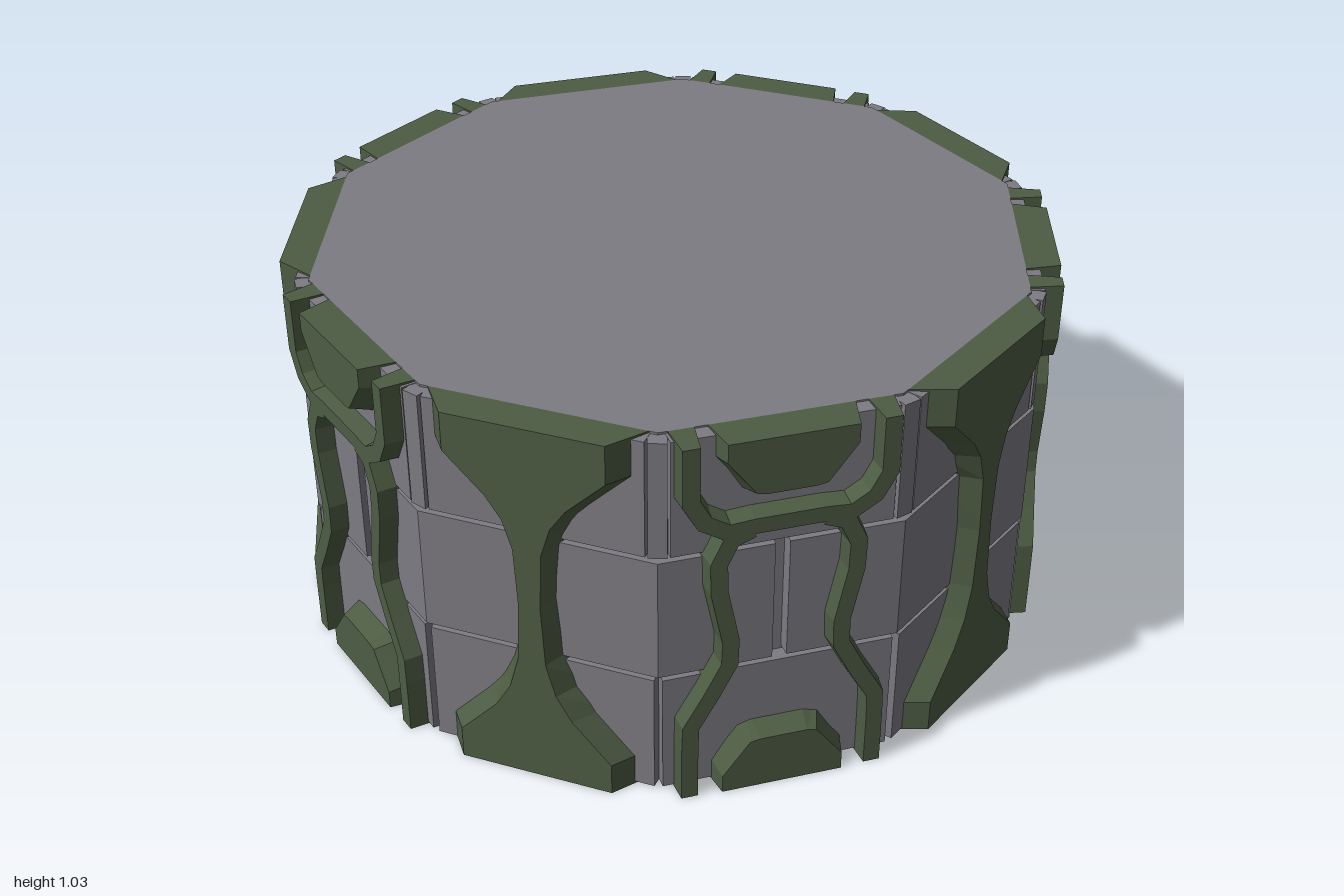
import * as THREE from 'three';

const H = 1.034;         // drum height
const CORE = 0.895;      // centre-to-face distance of the inner drum
const WALL = 0.932;      // same for the stone blocks
const TRIM = 0.985;      // same for the raised trim
const TAN = Math.tan(Math.PI / 10);

const stone = new THREE.MeshStandardMaterial({ color: 0x7d7b82 });
stone.name = 'grey stone';
const green = new THREE.MeshStandardMaterial({ color: 0x4d5c43 });
green.name = 'dark green trim';

// Bevelled plate: lofts a base outline at z0 to a face outline at z1
function plate(name, base, face, z0, z1, material) {
  const toV = (p) => new THREE.Vector2(p[0], p[1]);
  let b = base.map(toV), f = face.map(toV);
  if (THREE.ShapeUtils.area(b) < 0) { b = b.reverse(); f = f.reverse(); }
  const pos = [];
  const put = (p, z) => pos.push(p.x, p.y, z);
  b.forEach((_, i) => {
    const j = (i + 1) % b.length;
    put(b[i], z0); put(b[j], z0); put(f[j], z1);
    put(b[i], z0); put(f[j], z1); put(f[i], z1);
  });
  for (const tri of THREE.ShapeUtils.triangulateShape(f, [])) tri.forEach((k) => put(f[k], z1));
  const g = new THREE.BufferGeometry();
  g.setAttribute('position', new THREE.Float32BufferAttribute(pos, 3));
  g.computeVertexNormals();
  const mesh = new THREE.Mesh(g, material);
  mesh.name = name;
  return mesh;
}

// Mirrors right-hand points into a closed symmetric outline
const mirror = (pts) => [...pts, ...pts.map(([x, y]) => [-x, y]).reverse()];

// Outline of a strip of half-width w along a path, with mitred corners
function strip(path, w) {
  const p = path.map(([x, y]) => new THREE.Vector2(x, y));
  const normal = (a, b) => new THREE.Vector2(a.y - b.y, b.x - a.x).normalize();
  const left = [], right = [];
  p.forEach((q, i) => {
    const n0 = normal(p[Math.max(i - 1, 0)], p[Math.max(i, 1)]);
    const n1 = normal(p[Math.min(i, p.length - 2)], p[Math.min(i + 1, p.length - 1)]);
    const m = n0.clone().add(n1).normalize();
    const d = w / Math.max(m.dot(n0), 0.5);
    left.push([q.x + m.x * d, q.y + m.y * d]);
    right.push([q.x - m.x * d, q.y - m.y * d]);
  });
  return [...left, ...right.reverse()];
}

const rib = (name, path) => plate(name, strip(path, 0.031), strip(path, 0.021), CORE, 0.98, green);

// Stone block; edges flagged as corners are mitred to the next side
function block(name, u0, u1, y0, y1) {
  const rect = (z, grow) => {
    const c = z * TAN;
    const a = u0 === null ? -c : u0 - grow, b = u1 === null ? c : u1 + grow;
    return [[a, y0 - grow], [b, y0 - grow], [b, y1 + grow], [a, y1 + grow]];
  };
  return plate(name, rect(CORE - 0.01, 0.002), rect(WALL, 0), CORE - 0.01, WALL, stone);
}

// Hourglass trim: [y, base half-width, face half-width]
const HOURGLASS = [
  [0, 0.27, 0.2], [0.09, 0.27, 0.2], [0.2, 0.17, 0.1], [0.27, 0.115, 0.06], [0.36, 0.075, 0.036],
  [0.53, 0.06, 0.028], [0.69, 0.075, 0.036], [0.77, 0.115, 0.06], [0.83, 0.17, 0.1],
  [0.93, 0.27, 0.2], [H, 0.27, 0.2],
];

function hourglassSide() {
  const g = new THREE.Group();
  g.name = 'hourglassSide';
  g.add(plate('hourglassTrim', mirror(HOURGLASS.map(([y, b]) => [b, y])),
    mirror(HOURGLASS.map(([y, , f]) => [f, y])), CORE, TRIM, green));
  g.add(block('middleBlock', null, null, 0.358, 0.698));
  return g;
}

// Cut-corner tablets at the upper and lower edge
const TABLET_BASE = [[0.175, 0], [0.175, 0.07], [0.115, 0.17], [0.07, 0.185]];
const TABLET_FACE = [[0.155, 0], [0.155, 0.05], [0.085, 0.145], [0.06, 0.15]];

function archSide() {
  const g = new THREE.Group();
  g.name = 'archSide';
  // Upper yoke
  const arm = [[0.237, H], [0.237, 0.885], [0.205, 0.825], [0.15, 0.79], [0.085, 0.795]];
  g.add(rib('upperYoke', [...arm, ...arm.map(([x, y]) => [-x, y]).reverse()]));
  // Wavy legs, with the middle blocks split behind them
  for (const s of [-1, 1]) {
    const leg = [[0.09, 0.785], [0.14, 0.765], [0.17, 0.7], [0.168, 0.62], [0.138, 0.47],
      [0.14, 0.4], [0.185, 0.31], [0.235, 0.22], [0.237, 0.15], [0.237, 0]];
    g.add(rib('wavyLeg', leg.map(([x, y]) => [s * x, y])));
    g.add(s < 0 ? block('middleBlock', null, -0.018, 0.358, 0.698)
      : block('middleBlock', 0.018, null, 0.358, 0.698));
  }
  // Tablets
  const flip = (pts) => pts.map(([x, y]) => [x, H - y]);
  g.add(plate('lowerTablet', mirror(TABLET_BASE), mirror(TABLET_FACE), CORE, TRIM, green));
  g.add(plate('upperTablet', mirror(flip(TABLET_BASE)), mirror(flip(TABLET_FACE)), CORE, TRIM, green));
  return g;
}

export function createModel() {
  const model = new THREE.Group();
  model.name = 'tenSidedDrum';

  // Inner drum
  const r = CORE / Math.cos(Math.PI / 10);
  const coreGeo = new THREE.CylinderGeometry(r, r, H, 10).toNonIndexed();
  coreGeo.rotateY(Math.PI / 10);
  coreGeo.computeVertexNormals();
  const core = new THREE.Mesh(coreGeo, stone);
  core.name = 'innerDrum';
  core.position.y = H / 2;
  model.add(core);

  for (let k = 0; k < 10; k++) {
    const side = k % 2 ? archSide() : hourglassSide();
    side.rotation.y = (k * Math.PI) / 5;
    // Lower and upper rows, grooved at the corners
    side.add(block('lowerBlock', -0.292, 0.292, 0.006, 0.346));
    side.add(block('upperBlock', -0.272, 0.272, 0.71, H - 0.006));
    model.add(side);

    // Narrow upper post on each corner
    const post = new THREE.Mesh(new THREE.BoxGeometry(0.045, H - 0.716, 0.08), stone);
    post.name = 'cornerPost';
    const a = ((k + 0.5) * Math.PI) / 5;
    post.position.set(Math.sin(a) * 0.935, (H + 0.704) / 2, Math.cos(a) * 0.935);
    post.rotation.y = a;
    model.add(post);
  }
  return model;
}
